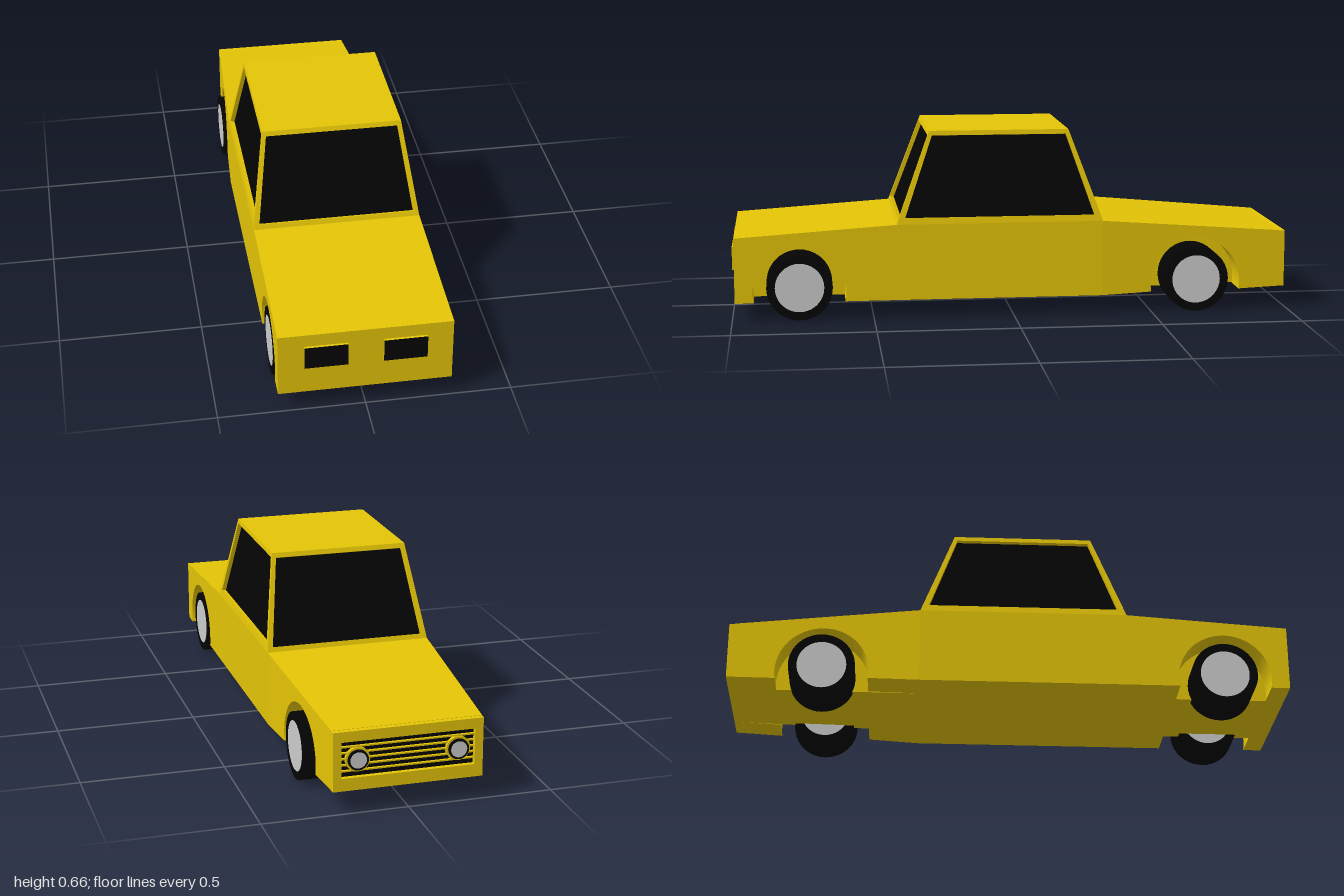
import * as THREE from 'three';

const paint = new THREE.MeshStandardMaterial({ color: 0xe4c406 });
const black = new THREE.MeshStandardMaterial({ color: 0x040404 });
const grey = new THREE.MeshStandardMaterial({ color: 0xcccccc });

function add(parent, name, geometry, material, x = 0, y = 0, z = 0) {
  const mesh = new THREE.Mesh(geometry, material);
  mesh.name = name;
  mesh.position.set(x, y, z);
  parent.add(mesh);
  return mesh;
}

const W = 0.295, INNER = 0.175, MID = -0.32, TAIL = -0.975, END = -0.995;
const ARCH_R = 0.165, ARCH_Y = 0.1, FRONT_AXLE = 0.762, REAR_AXLE = -0.662;

// Side profile (z, y): up one end, over the top, then back along the bottom edge with an optional wheel arch
function profile(bottomA, bottomB, top, archZ, archBase, withArch) {
  const s = new THREE.Shape();
  s.moveTo(...bottomB);
  top.forEach(p => s.lineTo(...p));
  s.lineTo(...bottomA);
  if (withArch) {
    const a = Math.asin((ARCH_Y - archBase) / ARCH_R);
    s.absarc(archZ, ARCH_Y, ARCH_R, Math.PI + a, -a, true);
  }
  s.closePath();
  return s;
}

// Extrude a (z, y) profile across x from x0 to x1
function slab(shape, x0, x1) {
  const g = new THREE.ExtrudeGeometry(shape, { depth: x1 - x0, bevelEnabled: false, curveSegments: 28 });
  return g.rotateY(-Math.PI / 2).translate(x1, 0, 0);
}

// Narrow the body towards the grille end
function taper(g) {
  const p = g.attributes.position;
  for (let i = 0; i < p.count; i++) {
    const t = Math.max(0, (MID - p.getZ(i)) / (MID - END));
    p.setX(i, p.getX(i) * (1 - 0.129 * t));
  }
  g.computeVertexNormals();
  return g;
}

// Cabin side: a frame around a recessed pane; corners run bottom left, bottom right, top right, top left
function windowPanel(parent, name, c, u, v0, v1) {
  const [a, b, d, e] = c.map(p => new THREE.Vector3(...p));
  const at = (s, t) => a.clone().lerp(b, s).lerp(e.clone().lerp(d, s), t);
  const normal = b.clone().sub(a).cross(e.clone().sub(a)).normalize();
  const outer = [a, b, d, e];
  const inner = [at(u, v0), at(1 - u, v0), at(1 - u, 1 - v1), at(u, 1 - v1)];
  const pane = inner.map(p => p.clone().addScaledVector(normal, -0.015));
  const quads = list => {
    const pts = list.flatMap(([p, q, r, s]) => [p, q, r, p, r, s]);
    const g = new THREE.BufferGeometry().setFromPoints(pts);
    g.computeVertexNormals();
    return g;
  };
  const frame = [];
  for (let i = 0; i < 4; i++) {
    const j = (i + 1) % 4;
    frame.push([outer[i], outer[j], inner[j], inner[i]], [inner[i], inner[j], pane[j], pane[i]]);
  }
  add(parent, name + 'Frame', quads(frame), paint);
  add(parent, name + 'Glass', quads([pane]), black);
}

function buildBody(car) {
  const body = new THREE.Group();
  body.name = 'body';
  car.add(body);
  const front = arch => profile([MID, 0.066], [0.99, 0.066],
    [[0.99, 0.299], [0.417, 0.337], [MID, 0.337]], FRONT_AXLE, 0.066, arch);
  const rear = arch => profile([TAIL, 0.078], [MID, 0.066],
    [[MID, 0.337], [TAIL, 0.284]], REAR_AXLE, 0.073, arch);
  for (const [x0, x1, arch] of [[-W, -INNER, true], [-INNER, INNER, false], [INNER, W, true]]) {
    add(body, 'frontBody', slab(front(arch), x0, x1), paint);
    add(body, 'rearBody', taper(slab(rear(arch), x0, x1)), paint);
  }
}

function buildCabin(car) {
  const cabin = new THREE.Group();
  cabin.name = 'cabin';
  car.add(cabin);
  const y0 = 0.337, y1 = 0.663, r = 0.245, zf = 0.417, zb = MID, tf = 0.297, tb = -0.2;
  windowPanel(cabin, 'frontWindow', [[-W, y0, zf], [W, y0, zf], [r, y1, tf], [-r, y1, tf]], 0.03, 0.05, 0.05);
  windowPanel(cabin, 'backWindow', [[W, y0, zb], [-W, y0, zb], [-r, y1, tb], [r, y1, tb]], 0.03, 0.05, 0.05);
  windowPanel(cabin, 'leftWindow', [[W, y0, zf], [W, y0, zb], [r, y1, tb], [r, y1, tf]], 0.03, 0.07, 0.05);
  windowPanel(cabin, 'rightWindow', [[-W, y0, zb], [-W, y0, zf], [-r, y1, tf], [-r, y1, tb]], 0.03, 0.07, 0.05);
  const roof = new THREE.PlaneGeometry(2 * r, tf - tb).rotateX(-Math.PI / 2);
  add(cabin, 'roof', roof, paint, 0, y1, (tf + tb) / 2);
}

function buildGrille(car) {
  const grille = new THREE.Group();
  grille.name = 'grille';
  car.add(grille);
  // Surround with a rectangular opening, tapered in line with the body
  const rectangle = (path, w, y0, y1) => path.setFromPoints(
    [[-w, y0], [w, y0], [w, y1], [-w, y1]].map(p => new THREE.Vector2(...p)));
  const s = rectangle(new THREE.Shape(), W, 0.078, 0.283);
  s.holes.push(rectangle(new THREE.Path(), 0.262, 0.122, 0.247));
  const surround = new THREE.ExtrudeGeometry(s, { depth: TAIL - END, bevelEnabled: false });
  add(grille, 'grilleSurround', taper(surround.translate(0, 0, END)), paint);
  add(grille, 'grillePanel', new THREE.BoxGeometry(0.456, 0.125, 0.004), black, 0, 0.1845, -0.976);
  for (let i = 0; i < 5; i++) {
    add(grille, 'grilleSlat', new THREE.BoxGeometry(0.456, 0.005, 0.01), paint, 0, 0.143 + i * 0.0208, -0.982);
  }
  // Round lamps
  const disc = (radius, depth) => new THREE.CylinderGeometry(radius, radius, depth, 24).rotateX(Math.PI / 2);
  for (const x of [-0.172, 0.172]) {
    add(grille, 'lampBezel', disc(0.042, 0.015), paint, x, 0.182, -0.983);
    add(grille, 'lampHousing', disc(0.035, 0.026), black, x, 0.182, -0.986);
    add(grille, 'lampLens', disc(0.028, 0.026), grey, x, 0.182, -0.987);
  }
}

function buildWheels(car) {
  const tyre = new THREE.CylinderGeometry(0.117, 0.117, 0.147, 40).rotateZ(Math.PI / 2);
  const hub = new THREE.CylinderGeometry(0.087, 0.087, 0.149, 40).rotateZ(Math.PI / 2);
  for (const z of [FRONT_AXLE, REAR_AXLE]) for (const side of [-1, 1]) {
    const wheel = new THREE.Group();
    wheel.name = 'wheel';
    wheel.position.set(side * 0.2185, 0.117, z);
    add(wheel, 'tyre', tyre, black);
    add(wheel, 'hub', hub, grey);
    car.add(wheel);
  }
}

export function createModel() {
  const car = new THREE.Group();
  car.name = 'car';
  buildBody(car);
  buildCabin(car);
  buildGrille(car);
  buildWheels(car);
  // Rectangular lights on the flat front end
  for (const x of [-0.1335, 0.1335]) {
    add(car, 'lightBase', new THREE.BoxGeometry(0.147, 0.083, 0.012), paint, x, 0.2115, 0.993);
    add(car, 'lightFace', new THREE.BoxGeometry(0.147, 0.083, 0.001), black, x, 0.2115, 0.9995);
  }
  return car;
}
